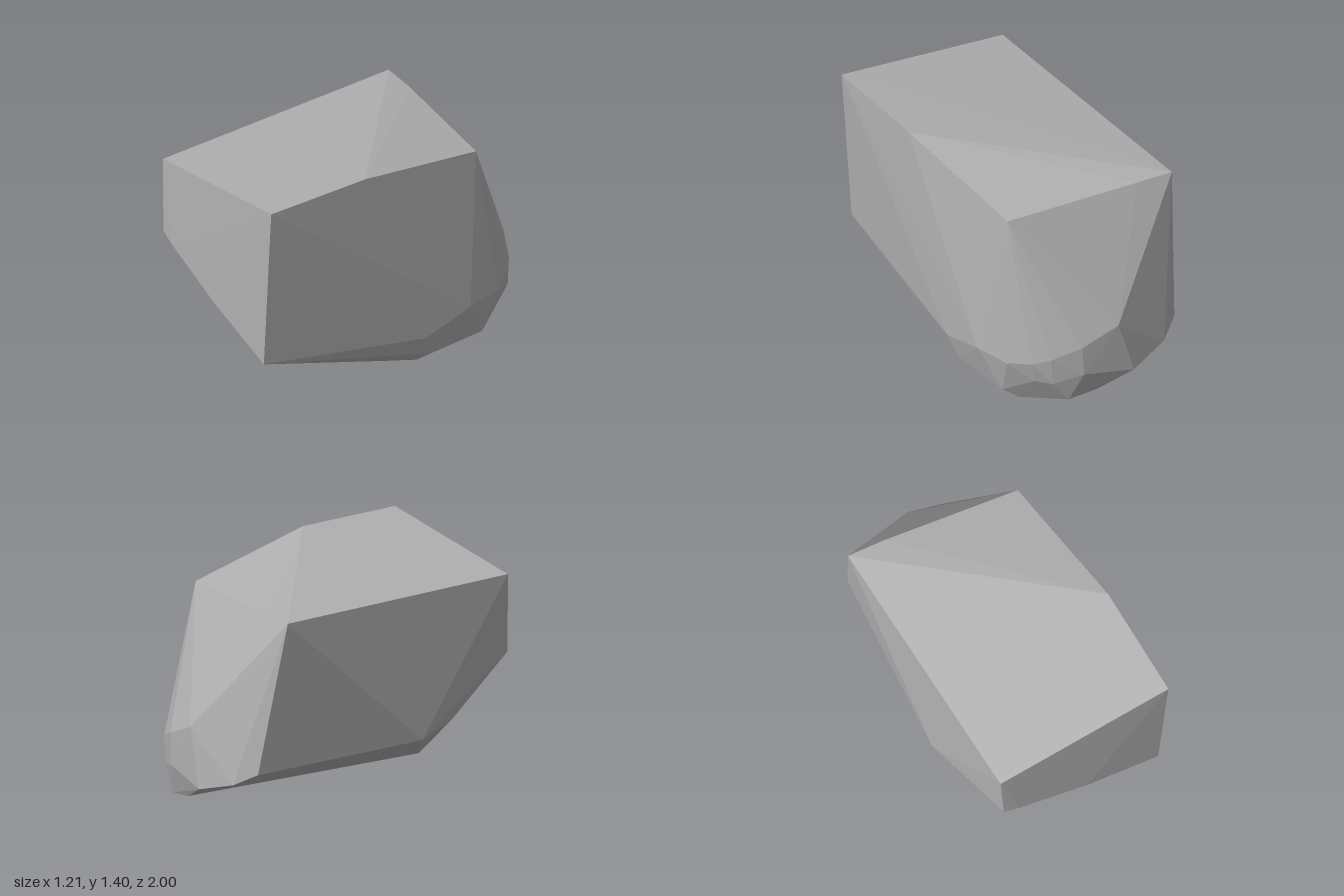
import * as THREE from 'three';
import { ConvexGeometry } from 'three/addons/geometries/ConvexGeometry.js';

// Corner groups of the faceted boulder, each corner as [x, y, z]
const topRim = [
  [0.55, 1.4, 1.0], [0.56, 1.4, 0.32], [0.48, 1.245, -0.55],
  [-0.34, 1.255, -0.69], [-0.57, 1.25, -0.72], [-0.555, 1.245, 0.94],
];
const frontLowerEdge = [
  [-0.54, 0.775, 0.95], [-0.44, 0.735, 0.965], [0, 0.557, 0.995], [0.48, 0.365, 1.0],
];
const leftFlank = [
  [-0.56, 0.45, 0.52], [-0.605, 0.38, 0.26], [-0.4, 0.23, 0.4], [-0.48, 0.345, -0.87],
];
const rightFlank = [
  [0.585, 0.2, -0.1], [0.6, 0.305, -0.42], [0.555, 0.315, -0.65], [0.475, 0.355, -0.79],
];
const roundedBack = [
  [0.39, 0.39, -0.86], [0.23, 0.46, -0.945], [0, 0.55, -0.985],
  [0.45, 0.22, -0.78], [0.38, 0.215, -0.86], [0.22, 0.27, -0.95],
  [-0.1, 0.2, -1.0], [-0.35, 0.27, -0.95],
];
const underside = [
  [0.32, 0.02, 0.07], [0.39, 0.006, 0.03], [0.475, 0, -0.12], [0.55, 0.06, -0.17],
  [0.525, 0.06, -0.56], [0.45, 0.01, -0.62], [0.33, 0.022, -0.74],
  [0.28, 0.075, -0.88], [0.1, 0.1, -0.92],
];

export function createModel() {
  const stone = new THREE.MeshStandardMaterial({ color: 0xb0b0b0 });
  stone.name = 'greyStone';

  // One solid hull, with flat facets between the corners
  const corners = [topRim, frontLowerEdge, leftFlank, rightFlank, roundedBack, underside]
    .flat()
    .map(([x, y, z]) => new THREE.Vector3(x, y, z));
  const boulder = new THREE.Mesh(new ConvexGeometry(corners), stone);
  boulder.name = 'boulder';

  const group = new THREE.Group();
  group.name = 'rock';
  group.add(boulder);
  return group;
}
